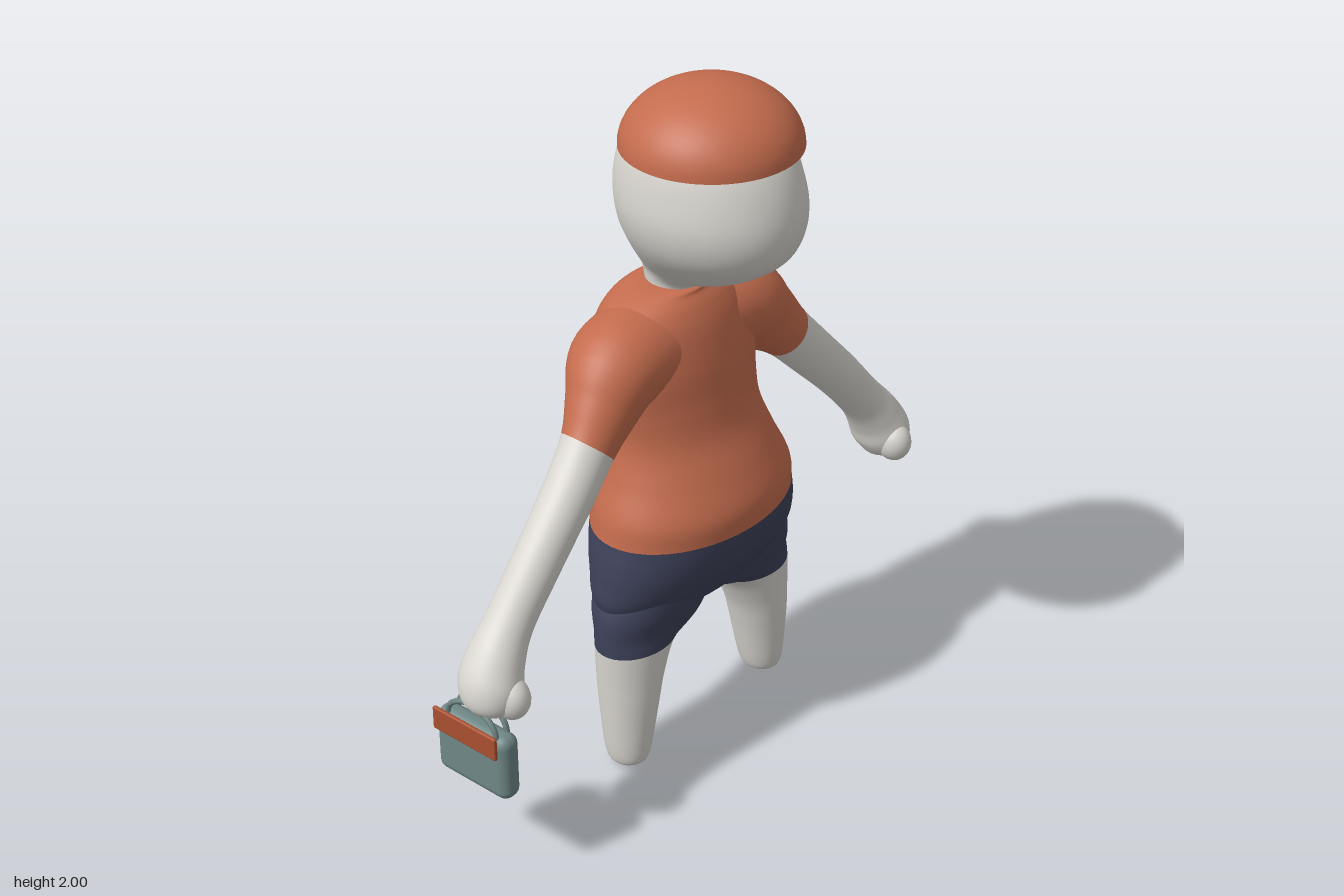
import * as THREE from 'three';
import { RoundedBoxGeometry } from 'three/addons/geometries/RoundedBoxGeometry.js';

function material(name, color) {
  const m = new THREE.MeshStandardMaterial({ color });
  m.name = name;
  return m;
}

// Smooth value between b and c (Catmull-Rom)
const spline = (a, b, c, d, t) =>
  0.5 * (2 * b + (c - a) * t + (2 * a - 5 * b + 4 * c - d) * t * t + (3 * b - a - 3 * c + d) * t * t * t);

// Skin of oval rings through rows [x, y, z, radius, depthRadius].
// bend: rings turn with the path in the xy plane; otherwise they stay level.
// split: row at which the second material takes over.
function loft(rows, { bend = false, split = 0, sides = 40, steps = 6 } = {}) {
  const rings = [];
  const last = rows.length - 1;
  for (let i = 0; i <= last * steps; i++) {
    const k = Math.min(Math.floor(i / steps), last - 1);
    const t = i / steps - k;
    const near = [k - 1, k, k + 1, k + 2].map(n => rows[Math.min(Math.max(n, 0), last)]);
    const ring = rows[0].map((_, c) => spline(near[0][c], near[1][c], near[2][c], near[3][c], t));
    ring[3] = Math.max(ring[3], 0.001);
    ring[4] = Math.max(ring[4], 0.001);
    rings.push(ring);
  }
  const position = [], index = [];
  rings.forEach(([x, y, z, r, depth], i) => {
    const p = rings[Math.max(i - 1, 0)], q = rings[Math.min(i + 1, rings.length - 1)];
    const along = bend ? new THREE.Vector2(q[0] - p[0], q[1] - p[1]).normalize() : new THREE.Vector2(0, 1);
    for (let j = 0; j < sides; j++) {
      const a = (j / sides) * Math.PI * 2;
      const u = Math.cos(a) * r;
      position.push(x + along.y * u, y - along.x * u, z + Math.sin(a) * depth);
      if (i < rings.length - 1) {
        const b = i * sides + j, c = i * sides + ((j + 1) % sides);
        index.push(b, b + sides, c, c, b + sides, c + sides);
      }
    }
  });
  const g = new THREE.BufferGeometry();
  g.setAttribute('position', new THREE.Float32BufferAttribute(position, 3));
  g.setIndex(index);
  g.computeVertexNormals();
  if (split) {
    const cut = split * steps * sides * 6;
    g.addGroup(0, cut, 0);
    g.addGroup(cut, index.length - cut, 1);
  }
  return g;
}

// Level ring given by its extents
const level = (y, x0, x1, front, back) =>
  [(x0 + x1) / 2, y, (front + back) / 2, (x1 - x0) / 2, (front - back) / 2];
const centred = ([y, halfWidth, front, back]) => level(y, -halfWidth, halfWidth, front, back);

export function createModel() {
  const skin = material('pale skin', 0xd9d6d0);
  const orange = material('orange cloth', 0xc46c4e);
  const navy = material('navy cloth', 0x3d4159);
  const teal = material('teal leather', 0x6f8786);
  const rust = material('rust tag', 0xa9502f);

  const model = new THREE.Group();
  model.name = 'figure';
  const add = (name, geometry, mat, parent = model) => {
    const mesh = new THREE.Mesh(geometry, mat);
    mesh.name = name;
    parent.add(mesh);
    return mesh;
  };

  // Shorts and shirt in one body
  const body = [
    [0.445, 0.02, -0.04, -0.06], [0.46, 0.14, 0.0, -0.11], [0.5, 0.32, 0.075, -0.18],
    [0.55, 0.364, 0.115, -0.222], [0.62, 0.36, 0.155, -0.252], [0.68, 0.35, 0.173, -0.27],
    [0.74, 0.335, 0.18, -0.278], [0.81, 0.322, 0.178, -0.276], [0.9, 0.284, 0.14, -0.268],
    [1.0, 0.258, 0.092, -0.265], [1.1, 0.262, 0.07, -0.272], [1.2, 0.275, 0.055, -0.28],
    [1.3, 0.255, 0.03, -0.28], [1.355, 0.21, 0.005, -0.262], [1.385, 0.15, -0.018, -0.23],
    [1.4, 0.085, -0.03, -0.2], [1.4, 0.01, -0.1, -0.12],
  ].map(centred);
  add('shirtAndShorts', loft(body, { split: 6, sides: 56 }), [navy, orange]);

  // Neck and head
  const head = [
    [1.35, 0.07, -0.04, -0.18], [1.41, 0.07, -0.025, -0.195], [1.445, 0.088, 0.07, -0.203],
    [1.49, 0.132, 0.165, -0.212], [1.55, 0.183, 0.245, -0.225], [1.61, 0.215, 0.278, -0.24],
    [1.68, 0.229, 0.284, -0.249], [1.76, 0.222, 0.266, -0.246], [1.83, 0.205, 0.232, -0.218],
    [1.88, 0.17, 0.18, -0.14], [1.92, 0.01, 0.03, 0.01],
  ].map(centred);
  add('head', loft(head, { sides: 48 }), skin);

  // Domed cap with a flat underside
  const dome = [];
  for (let i = 0; i <= 16; i++) {
    const a = (i / 16) * Math.PI / 2;
    dome.push(new THREE.Vector2(0.24 * Math.cos(a), 0.17 * Math.sin(a)));
  }
  add('cap', new THREE.LatheGeometry(dome, 56), orange).position.set(0, 1.83, 0.02);
  const underside = add('capUnderside', new THREE.CircleGeometry(0.24, 56), orange);
  underside.rotation.x = Math.PI / 2;
  underside.position.set(0, 1.83, 0.02);

  // Limbs on both sides
  const leg = [
    level(0, 0.29, 0.3, -0.03, -0.04), level(0.012, 0.255, 0.335, 0.008, -0.08),
    level(0.05, 0.233, 0.353, 0.03, -0.105), level(0.2, 0.2, 0.365, 0.045, -0.125),
    level(0.3, 0.172, 0.37, 0.05, -0.135), level(0.4, 0.115, 0.374, 0.055, -0.145),
    level(0.45, 0.0, 0.374, 0.065, -0.162), level(0.52, -0.02, 0.366, 0.085, -0.185),
    level(0.62, 0.0, 0.32, 0.1, -0.2),
  ];
  const arm = [
    [0.08, 1.25, -0.12, 0.125, 0.14], [0.24, 1.235, -0.105, 0.13, 0.135],
    [0.33, 1.16, -0.08, 0.105, 0.1], [0.405, 1.085, -0.058, 0.08, 0.075],
    [0.5, 0.985, -0.045, 0.073, 0.07], [0.63, 0.85, -0.037, 0.068, 0.066],
    [0.74, 0.725, -0.035, 0.066, 0.066], [0.8, 0.645, -0.03, 0.077, 0.08],
    [0.832, 0.58, -0.022, 0.084, 0.09], [0.845, 0.525, -0.015, 0.064, 0.066],
    [0.85, 0.495, -0.012, 0.005, 0.005],
  ];
  for (const [side, s] of [['left', 1], ['right', -1]]) {
    const mirror = rows => rows.map(([x, ...rest]) => [s * x, ...rest]);
    add(side + 'Leg', loft(mirror(leg), { split: 5 }), [skin, navy]);
    add(side + 'Arm', loft(mirror(arm), { split: 3, bend: true }), [orange, skin]);
    const thumb = add(side + 'Thumb', new THREE.SphereGeometry(0.055, 24, 16), skin);
    thumb.position.set(s * 0.82, 0.56, 0.038);
    thumb.scale.set(0.9, 1.1, 1);
  }

  // Small bag hanging from the right hand
  const bag = new THREE.Group();
  bag.name = 'bag';
  bag.position.set(-0.87, 0.38, -0.04);
  model.add(bag);
  add('bagBody', new RoundedBoxGeometry(0.068, 0.2, 0.255, 4, 0.03), teal, bag);
  add('bagTag', new RoundedBoxGeometry(0.012, 0.07, 0.225, 2, 0.005), rust, bag).position.set(-0.046, 0.083, 0);
  for (const x of [-0.02, 0.02]) {
    const path = new THREE.CatmullRomCurve3([
      [x, 0.08, -0.09], [x, 0.12, -0.08], [x, 0.15, -0.045], [x, 0.16, 0],
      [x, 0.15, 0.045], [x, 0.12, 0.08], [x, 0.08, 0.09],
    ].map(p => new THREE.Vector3(...p)));
    add('bagHandle', new THREE.TubeGeometry(path, 32, 0.008, 8), teal, bag);
  }
  return model;
}
